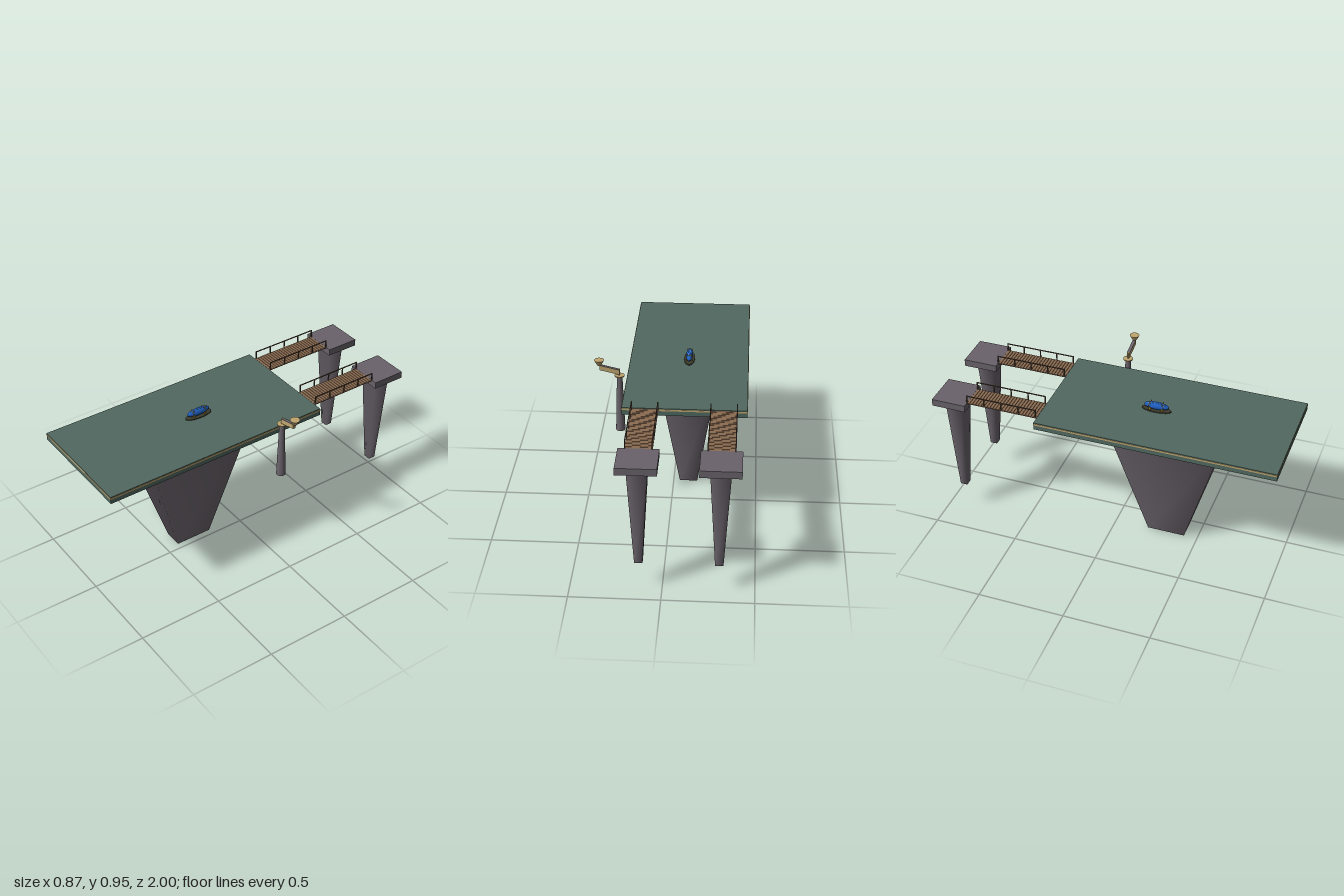
import * as THREE from 'three';

const mat = (name, color, side = THREE.FrontSide) => {
  const m = new THREE.MeshStandardMaterial({ color });
  m.name = name;
  m.side = side;
  return m;
};

export function createModel() {
  const root = new THREE.Group();
  root.name = 'landingPlatform';

  const green = mat('deckGreen', 0x506860);
  const stone = mat('stone', 0x69626a);
  const gold = mat('paleGold', 0xbfa670);
  const wood = mat('plankBrown', 0x8a6b50);
  const darkWood = mat('railBrown', 0x5c4a3c);
  const blue = mat('hullBlue', 0x1f5fc0);
  const lightBlue = mat('stripeBlue', 0x6c9fe6);
  const yellow = mat('trimYellow', 0xb98f22);
  const dark = mat('sledDark', 0x3c3a2c);

  const add = (parent, name, geo, material, x, y, z) => {
    const mesh = new THREE.Mesh(geo, material);
    mesh.name = name;
    mesh.position.set(x, y, z);
    parent.add(mesh);
    return mesh;
  };
  const box = (parent, name, material, w, h, d, x, y, z) =>
    add(parent, name, new THREE.BoxGeometry(w, h, d), material, x, y, z);

  // Four-sided pillar narrowing to its foot, with soft corner normals
  const pillar = (parent, name, wTop, dTop, taper, y0, y1, x, z) => {
    const geo = new THREE.CylinderGeometry(Math.SQRT1_2, Math.SQRT1_2 * taper, y1 - y0, 4);
    geo.rotateY(Math.PI / 4);
    geo.scale(wTop, 1, dTop);
    return add(parent, name, geo, stone, x, (y0 + y1) / 2, z);
  };

  // Deck in layers, with a gold band around the rim
  const deck = new THREE.Group();
  deck.name = 'deck';
  root.add(deck);
  box(deck, 'deckBase', green, 0.686, 0.028, 1.375, -0.09, 0.79, 0.311);
  box(deck, 'deckBand', gold, 0.69, 0.01, 1.378, -0.09, 0.809, 0.311);
  box(deck, 'deckTop', green, 0.686, 0.005, 1.375, -0.09, 0.8165, 0.311);
  pillar(root, 'mainPillar', 0.324, 0.68, 0.325, 0, 0.777, -0.09, 0.31);

  // Walkways to the two rear stone towers
  for (const [cx, side] of [[-0.306, 'right'], [0.125, 'left']]) {
    const tower = new THREE.Group();
    tower.name = side + 'Tower';
    root.add(tower);
    box(tower, 'towerCap', stone, 0.218, 0.041, 0.2, cx, 0.797, -0.9);
    pillar(tower, 'towerPillar', 0.112, 0.104, 0.4, 0.175, 0.777, cx, -0.893);

    const walk = new THREE.Group();
    walk.name = side + 'Walkway';
    root.add(walk);
    const count = 24, z0 = -0.378, z1 = -0.802;
    const pitch = (z1 - z0) / count;
    for (let i = 0; i < count; i++) {
      box(walk, 'plank', wood, 0.148, 0.006, Math.abs(pitch) * 0.86,
        cx, 0.814, z0 + pitch * (i + 0.5));
    }
    for (const s of [-1, 1]) {
      const x = cx + s * 0.0715;
      box(walk, 'stringer', darkWood, 0.005, 0.003, 0.424, x, 0.8125, -0.59);
      box(walk, 'handRail', darkWood, 0.005, 0.005, 0.418, x, 0.8625, -0.592);
      for (let i = 0; i < 5; i++) {
        box(walk, 'railPost', darkWood, 0.006, 0.052, 0.006, x, 0.839, -0.386 - i * 0.1035);
      }
    }
  }

  // Signal mast: tapered post, disc, slanted arm and bowl
  const mast = new THREE.Group();
  mast.name = 'mast';
  mast.position.set(0.289, 0, -0.08);
  root.add(mast);
  add(mast, 'mastPost', new THREE.CylinderGeometry(0.0155, 0.027, 0.343, 24), stone, 0, 0.6845, 0);
  add(mast, 'mastDisc', new THREE.CylinderGeometry(0.028, 0.028, 0.006, 24), gold, 0, 0.859, 0);
  add(mast, 'armPivot', new THREE.CylinderGeometry(0.005, 0.005, 0.038, 12), gold, 0.003, 0.881, 0);
  const slope = (x, low, high) => [[x, low], [x, high]];
  const [a, b] = slope(0.002, 0.867, 0.896);
  const [c, d] = slope(0.111, 0.894, 0.922);
  const armShape = new THREE.Shape([a, c, d, b].map(p => new THREE.Vector2(...p)));
  const armGeo = new THREE.ExtrudeGeometry(armShape, { depth: 0.018, bevelEnabled: false });
  add(mast, 'arm', armGeo, gold, 0, 0, -0.009);
  const plate = box(mast, 'armTopPlate', stone, 0.111, 0.001, 0.018, 0.0565, 0.9095, 0);
  plate.rotation.z = Math.atan2(0.026, 0.109);
  add(mast, 'bowl', new THREE.CylinderGeometry(0.028, 0.011, 0.032, 24), gold, 0.114, 0.937, 0);

  // Small craft resting on the deck
  const craft = new THREE.Group();
  craft.name = 'craft';
  craft.position.set(-0.09, 0, 0.222);
  root.add(craft);
  const sled = add(craft, 'sled', new THREE.CylinderGeometry(1, 1, 0.005, 32), dark, 0, 0.8245, 0);
  sled.scale.set(0.031, 1, 0.085);
  const hull = add(craft, 'hull', new THREE.SphereGeometry(1, 28, 18), blue, 0, 0.848, 0);
  hull.scale.set(0.02, 0.022, 0.072);
  for (const z of [-0.042, 0.042]) {
    const k = Math.sqrt(1 - (z / 0.072) ** 2);
    const ring = add(craft, 'hullBand', new THREE.TorusGeometry(1, 0.07, 6, 24), yellow, 0, 0.848, z);
    ring.scale.set(0.02 * k, 0.022 * k, 0.02);
  }
  // Pale stripes following the top of the hull
  for (const x of [-0.006, 0.006]) {
    const pts = [];
    for (let i = -4; i <= 4; i++) {
      const z = i * 0.013;
      pts.push(new THREE.Vector3(x, 0.848 + 0.022 * Math.sqrt(1 - (x / 0.02) ** 2 - (z / 0.072) ** 2), z));
    }
    add(craft, 'hullStripe',
      new THREE.TubeGeometry(new THREE.CatmullRomCurve3(pts), 20, 0.0015, 6), lightBlue, 0, 0, 0);
  }
  // Horns and side fins
  for (const s of [-1, 1]) {
    for (const z of [-0.035, 0.035]) {
      const horn = add(craft, 'horn', new THREE.ConeGeometry(0.004, 0.016, 8), yellow, s * 0.013, 0.867, z);
      horn.rotation.z = -s * 0.3;
      box(craft, 'skid', yellow, 0.005, 0.014, 0.012, s * 0.015, 0.832, z);
    }
  }
  return root;
}
